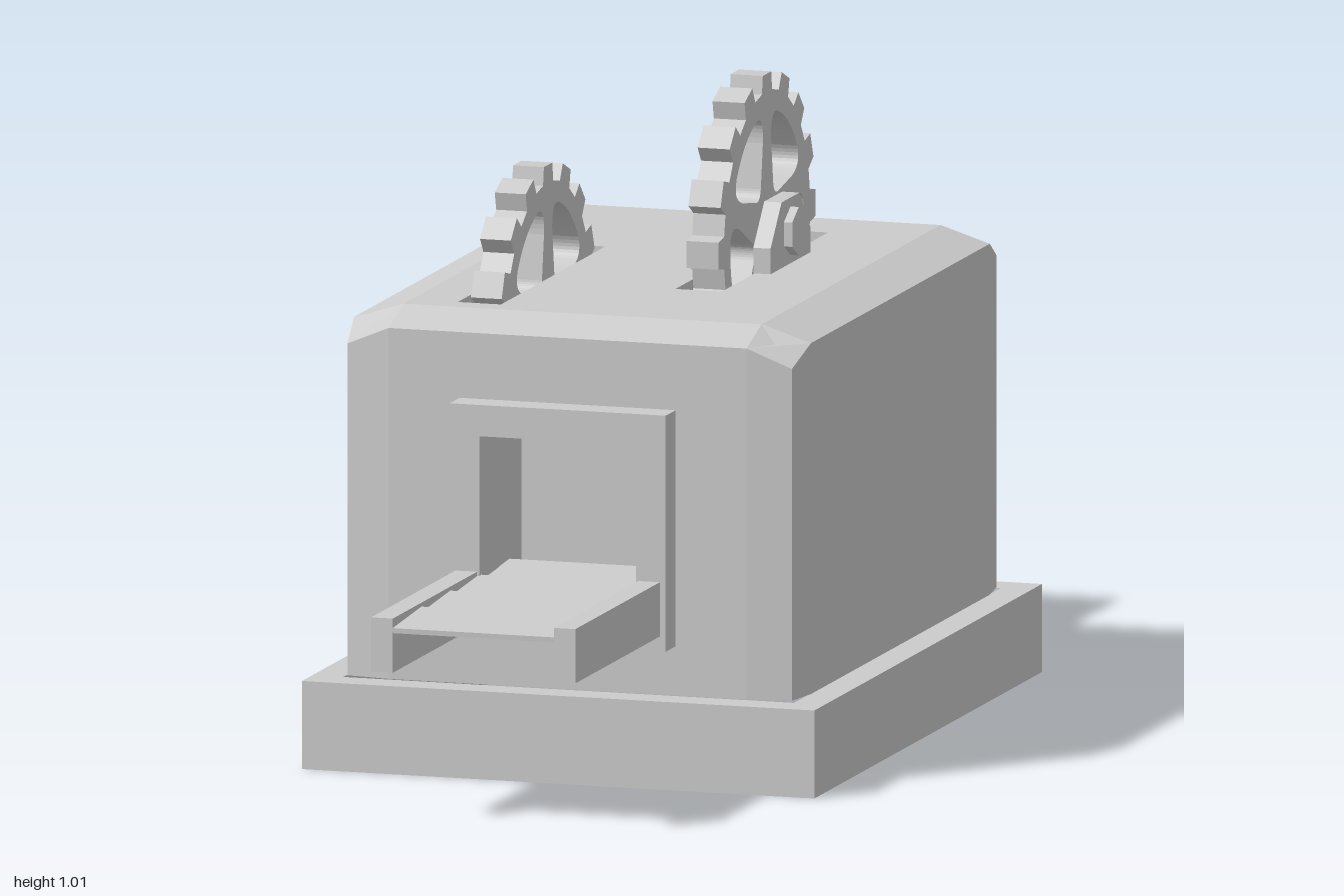
import * as THREE from 'three';

const mat = new THREE.MeshStandardMaterial({ color: 0xcccccc, flatShading: true });
const thin = new THREE.MeshStandardMaterial({ color: 0xcccccc, flatShading: true, side: THREE.DoubleSide });

function add(parent, name, geo, x = 0, y = 0, z = 0, m = mat) {
  const mesh = new THREE.Mesh(geo, m);
  mesh.name = name;
  mesh.position.set(x, y, z);
  parent.add(mesh);
  return mesh;
}
const box = (w, h, d) => new THREE.BoxGeometry(w, h, d);
const poly = (pts, C = THREE.Shape) => new C(pts.map(p => new THREE.Vector2(p[0], p[1])));
const rect = (x0, y0, x1, y1, C) => poly([[x0, y0], [x1, y0], [x1, y1], [x0, y1]], C);
function extrude(shape, depth, holes = []) {
  shape.holes.push(...holes);
  return new THREE.ExtrudeGeometry(shape, { depth, bevelEnabled: false, curveSegments: 10 });
}

// Long side wall with its chamfered corners; the corner tops dip down
function sideWall() {
  const outer = [[0.29, 0.525], [0.36, 0.515], [0.37, 0.45]];
  const inner = [[0.29, 0.475], [0.32, 0.465]];
  const flip = a => a.map(p => [p[0], -p[1]]).reverse();
  const geo = extrude(poly([...outer, ...flip(outer), ...inner.map(p => [p[0], -p[1]]), ...inner.slice().reverse()]), 0.55);
  geo.rotateX(-Math.PI / 2);
  const p = geo.attributes.position;
  for (let i = 0; i < p.count; i++) {
    if (p.getY(i) > 0.3 && Math.abs(p.getX(i) - 0.36) < 0.004) p.setY(i, 0.52);
  }
  geo.computeVertexNormals();
  return geo;
}

// Sloping rim between the walls and the flat roof
function roofRim() {
  const ring = [];
  const corner = [[0.29, 0.69, 0.525], [0.36, 0.66, 0.515], [0.37, 0.69, 0.45]];
  for (const [sx, sz] of [[1, 1], [1, -1], [-1, -1], [-1, 1]]) {
    const pts = sx * sz > 0 ? corner : corner.slice().reverse();
    for (const [x, y, z] of pts) ring.push({ b: [x * sx, y, z * sz], c: [0.29 * sx, 0.715, 0.45 * sz] });
  }
  const v = [];
  ring.forEach((p, i) => {
    const q = ring[(i + 1) % ring.length];
    v.push(...p.b, ...q.b, ...q.c);
    if (p.c[0] !== q.c[0] || p.c[2] !== q.c[2]) v.push(...p.b, ...q.c, ...p.c);
  });
  const geo = new THREE.BufferGeometry();
  geo.setAttribute('position', new THREE.Float32BufferAttribute(v, 3));
  geo.computeVertexNormals();
  return geo;
}

// Spoked gear wheel lying in the yz plane
function gearGeometry(width) {
  const teeth = 16, spokes = 5, pts = [];
  for (let i = 0; i < teeth; i++) {
    for (const [f, r] of [[-0.3, 0.217], [-0.22, 0.245], [0.22, 0.245], [0.3, 0.217]]) {
      const a = Math.PI / 2 + (i + f) * 2 * Math.PI / teeth;
      pts.push([r * Math.cos(a), r * Math.sin(a)]);
    }
  }
  const holes = [];
  for (let i = 0; i < spokes; i++) {
    const mid = Math.PI / 2 + (i + 0.5) * 2 * Math.PI / spokes;
    const at = (r, a) => [r * Math.cos(mid + a), r * Math.sin(mid + a)];
    const h = new THREE.Path();
    h.moveTo(...at(0.075, -0.2));
    h.lineTo(...at(0.14, -0.48));
    h.quadraticCurveTo(...at(0.185, -0.53), ...at(0.185, -0.34));
    h.quadraticCurveTo(...at(0.196, 0), ...at(0.185, 0.34));
    h.quadraticCurveTo(...at(0.185, 0.53), ...at(0.14, 0.48));
    h.lineTo(...at(0.075, 0.2));
    h.quadraticCurveTo(...at(0.06, 0), ...at(0.075, -0.2));
    holes.push(h);
  }
  return extrude(poly(pts), width, holes).translate(0, 0, -width / 2).rotateY(Math.PI / 2);
}

// Slatted belt between two rails, running from z0 to z1
function conveyor(name, z0, z1) {
  const g = new THREE.Group();
  g.name = name;
  const len = z1 - z0, count = 4, step = 0.145;
  for (const s of [-1, 1]) add(g, 'rail', box(0.035, 0.085, len), s * 0.148, 0.283, (z0 + z1) / 2);
  for (let i = 0; i < count; i++) {
    const a = z1 > 0 ? z1 - (i + 1) * step : z0 + i * step;
    const slat = add(g, 'slat', box(0.264, 0.008, step), 0, 0.311, a + step / 2);
    slat.rotation.x = 0.06;
  }
  return g;
}

export function createModel() {
  const model = new THREE.Group();

  // Base frame, open underneath
  add(model, 'baseFrame', extrude(rect(-0.415, -0.573, 0.415, 0.573), 0.138,
    [rect(-0.365, -0.52, 0.365, 0.52, THREE.Path)]).rotateX(-Math.PI / 2));

  // Hollow housing
  const housing = new THREE.Group();
  housing.name = 'housing';
  model.add(housing);
  for (const r of [0, Math.PI]) add(housing, 'sideWall', sideWall(), 0, 0.14, 0).rotation.y = r;
  add(housing, 'roofRim', roofRim(), 0, 0, 0, thin);
  const slots = [rect(0.07, -0.2, 0.145, 0.335, THREE.Path), rect(-0.215, -0.41, -0.145, 0.115, THREE.Path)];
  add(housing, 'roof', extrude(rect(-0.29, -0.45, 0.29, 0.45), 0.03, slots).rotateX(-Math.PI / 2), 0, 0.685, 0);

  // Each end: wall, raised door frame and recessed tunnel
  for (const r of [0, Math.PI]) {
    const end = new THREE.Group();
    end.name = r ? 'backEnd' : 'frontEnd';
    end.rotation.y = r;
    model.add(end);
    const opening = () => rect(-0.127, 0.265, 0.127, 0.538, THREE.Path);
    add(end, 'endWall', extrude(rect(-0.29, 0.14, 0.29, 0.69), 0.05, [opening()]), 0, 0, 0.475);
    add(end, 'doorFrame', extrude(rect(-0.175, 0.217, 0.175, 0.587), 0.052, [opening()]), 0, 0, 0.523);
    for (const s of [-1, 1]) add(end, 'tunnelSide', box(0.02, 0.31, 0.12), s * 0.138, 0.395, 0.417);
    add(end, 'tunnelTop', box(0.294, 0.02, 0.12), 0, 0.549, 0.417);
    add(end, 'tunnelBack', box(0.294, 0.32, 0.02), 0, 0.4, 0.35);
  }
  model.add(conveyor('frontConveyor', 0.36, 1), conveyor('backConveyor', -1, -0.36));

  // Gears rising through the roof slots
  add(model, 'tallGear', gearGeometry(0.052), 0.107, 0.766, -0.065);
  add(model, 'lowGear', gearGeometry(0.05), -0.178, 0.644, 0.148);

  // Bearing blocks and axle of the tall gear
  const bearing = poly([[-0.1, 0], [0.1, 0], [0.1, 0.045], [0.045, 0.108], [-0.045, 0.108], [-0.1, 0.045]]);
  for (const x of [0.055, 0.157]) {
    add(model, 'bearingBlock', extrude(bearing, 0.028).translate(0, 0, -0.014).rotateY(Math.PI / 2), x, 0.71, -0.065);
  }
  add(model, 'axle', new THREE.CylinderGeometry(0.038, 0.038, 0.155, 6).rotateY(Math.PI / 6).rotateZ(Math.PI / 2), 0.107, 0.766, -0.065);

  return model;
}
